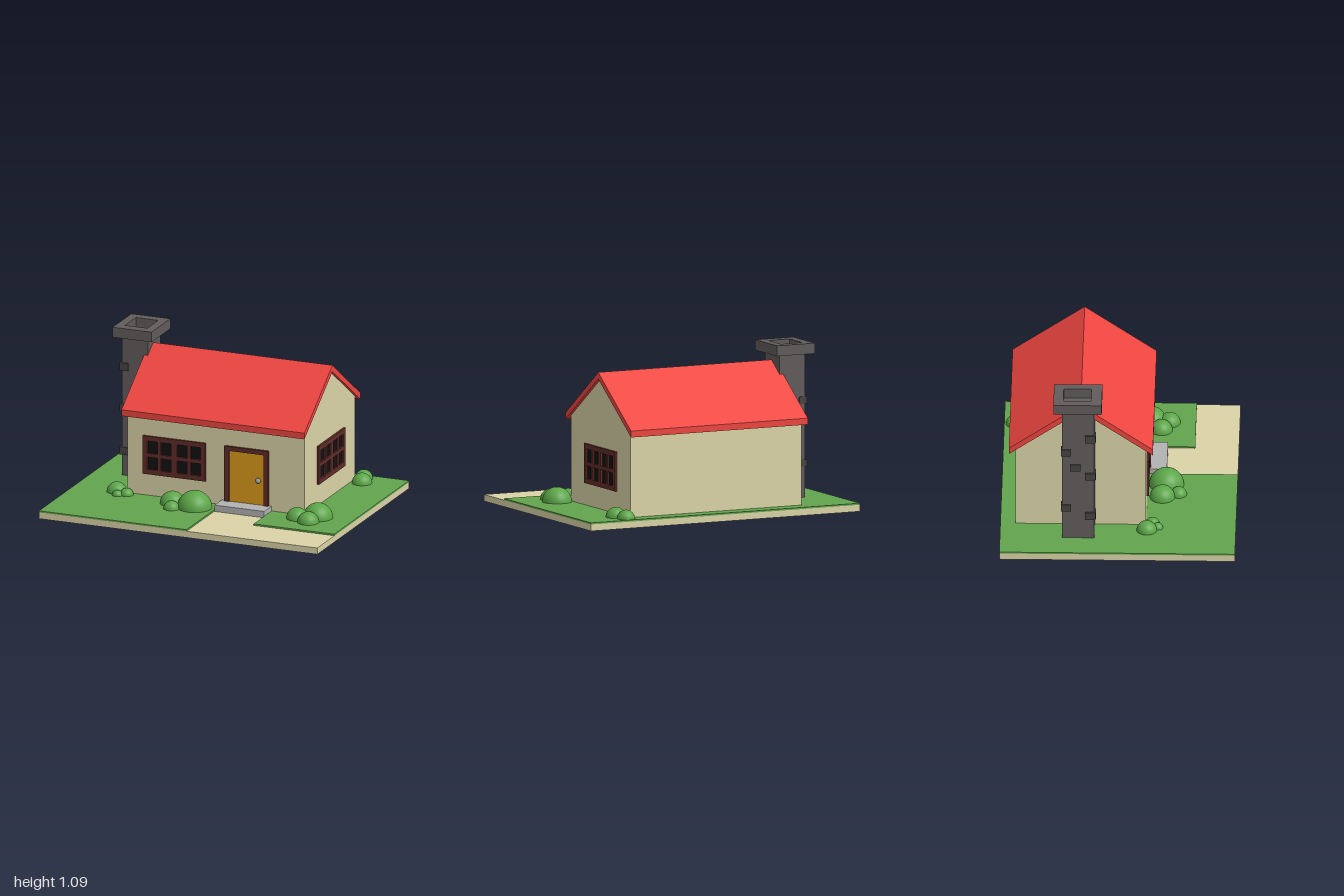
import * as THREE from 'three';

const paint = (color) => new THREE.MeshStandardMaterial({ color });
const MAT = {
  sand: paint(0xdbd4a8), grass: paint(0x62a54e), bush: paint(0x5ca648),
  roof: paint(0xee4540), stone: paint(0x625c5c), darkStone: paint(0x484444),
  wood: paint(0x602c28), glass: paint(0x111111), door: paint(0xdb9a1b),
  step: paint(0xb3b3b3), metal: paint(0xb0b0b0),
};

const shapeOf = (pts, Type = THREE.Shape) => new Type(pts.map(([x, y]) => new THREE.Vector2(x, y)));
const rect = (x0, x1, y0, y1) => [[x0, y0], [x1, y0], [x1, y1], [x0, y1]];

function add(parent, name, geometry, material) {
  const mesh = new THREE.Mesh(geometry, material);
  mesh.name = name;
  parent.add(mesh);
  return mesh;
}

// Box given by its limits on each axis
function box(parent, name, [x0, x1], [y0, y1], [z0, z1], material) {
  const mesh = add(parent, name, new THREE.BoxGeometry(x1 - x0, y1 - y0, z1 - z0), material);
  mesh.position.set((x0 + x1) / 2, (y0 + y1) / 2, (z0 + z1) / 2);
  return mesh;
}

function extrude(pts, depth, holes = []) {
  const shape = shapeOf(pts);
  shape.holes = holes.map((h) => shapeOf(h, THREE.Path));
  return new THREE.ExtrudeGeometry(shape, { depth, bevelEnabled: false });
}

// Flat slab: outline in x and z, extruded down from its top
function slab(parent, name, pts, top, depth, material, holes) {
  const geometry = extrude(pts, depth, holes).rotateX(Math.PI / 2);
  add(parent, name, geometry, material).position.y = top;
}

// Side profile in (z, y), extruded along x
function profile(parent, name, pts, x0, x1, material) {
  const geometry = extrude(pts.map(([z, y]) => [-z, y]), x1 - x0).rotateY(Math.PI / 2);
  add(parent, name, geometry, material).position.x = x0;
}

// Window of eight panes in a wooden frame, lying against z = 0
function makeWindow(name) {
  const group = new THREE.Group();
  group.name = name;
  const panes = [];
  for (const x of [-0.155, -0.058, 0.058, 0.155]) {
    for (const y of [-0.056, 0.056]) panes.push(rect(x - 0.037, x + 0.037, y - 0.043, y + 0.043));
  }
  add(group, 'windowFrame', extrude(rect(-0.225, 0.225, -0.132, 0.132), 0.016, panes), MAT.wood);
  box(group, 'windowGlass', [-0.21, 0.21], [-0.115, 0.115], [-0.004, 0.004], MAT.glass);
  return group;
}

function makeGround() {
  const ground = new THREE.Group();
  ground.name = 'ground';
  box(ground, 'base', [-1, 1], [0, 0.044], [-0.78, 0.78], MAT.sand);
  // Lawn leaves an L-shaped path free
  slab(ground, 'lawn', [[-1, -0.78], [1, -0.78], [1, 0.49], [0.42, 0.49], [0.42, 0.2],
    [0.06, 0.2], [0.06, 0.78], [-1, 0.78]], 0.055, 0.011, MAT.grass);
  return ground;
}

function makeHouse() {
  const house = new THREE.Group();
  house.name = 'house';
  const ridge = -0.247;
  profile(house, 'walls', [[0.185, 0.044], [0.185, 0.63], [ridge, 0.928],
    [-0.679, 0.63], [-0.679, 0.044]], -0.615, 0.655, MAT.sand);
  profile(house, 'roof', [[0.23, 0.597], [0.23, 0.64], [ridge, 0.972], [-0.724, 0.64],
    [-0.724, 0.597], [ridge, 0.927]], -0.64, 0.675, MAT.roof);

  const front = makeWindow('frontWindow');
  front.position.set(-0.275, 0.337, 0.185);
  const side = makeWindow('sideWindow');
  side.position.set(0.655, 0.337, -0.255);
  side.rotation.y = Math.PI / 2;
  house.add(front, side);

  // Door, its frame, knob and step
  const frame = [[0.085, 0.05], [0.12, 0.05], [0.12, 0.44], [0.37, 0.44], [0.37, 0.05],
    [0.4, 0.05], [0.4, 0.47], [0.085, 0.47]];
  add(house, 'doorFrame', extrude(frame, 0.018), MAT.wood).position.z = 0.184;
  box(house, 'door', [0.12, 0.37], [0.05, 0.44], [0.175, 0.192], MAT.door);
  const knob = new THREE.LatheGeometry([[0, 0], [0.008, 0], [0.008, 0.014], [0.018, 0.018],
    [0.018, 0.027], [0.012, 0.033], [0, 0.034]].map(([x, y]) => new THREE.Vector2(x, y)), 20);
  add(house, 'doorKnob', knob.rotateX(Math.PI / 2), MAT.metal).position.set(0.335, 0.262, 0.191);
  box(house, 'doorStep', [0.063, 0.42], [0.04, 0.088], [0.17, 0.31], MAT.step);
  return house;
}

function makeChimney() {
  const chimney = new THREE.Group();
  chimney.name = 'chimney';
  box(chimney, 'shaft', [-0.8, -0.613], [0.044, 1.022], [-0.367, -0.155], MAT.stone);
  slab(chimney, 'cap', rect(-0.845, -0.565, -0.425, -0.105), 1.09, 0.07, MAT.stone,
    [rect(-0.785, -0.625, -0.36, -0.175)]);
  // Protruding stones: at the front corner, at the back corner and in between
  for (const y of [0.81, 0.525, 0.225]) {
    box(chimney, 'frontCornerStone', [-0.813, -0.75], [y - 0.026, y + 0.026], [-0.215, -0.145], MAT.darkStone);
  }
  for (const y of [0.705, 0.285]) {
    box(chimney, 'backCornerStone', [-0.811, -0.755], [y - 0.024, y + 0.024], [-0.375, -0.31], MAT.darkStone);
  }
  box(chimney, 'middleStone', [-0.811, -0.76], [0.567, 0.615], [-0.315, -0.245], MAT.darkStone);
  return chimney;
}

function makeBushes() {
  const bushes = new THREE.Group();
  bushes.name = 'bushes';
  const domes = [ // x, z, radius
    [-0.69, 0.19, 0.067], [-0.603, 0.228, 0.046], [-0.655, 0.262, 0.036],
    [-0.25, 0.285, 0.084], [-0.08, 0.31, 0.116], [-0.212, 0.393, 0.054],
    [0.757, 0.193, 0.1], [0.638, 0.262, 0.074], [0.738, 0.315, 0.072],
    [0.705, -0.71, 0.06], [0.732, -0.615, 0.068],
  ];
  const dome = new THREE.SphereGeometry(1, 32, 12, 0, Math.PI * 2, 0, Math.PI / 2);
  for (const [x, z, r] of domes) {
    const mesh = add(bushes, 'bush', dome, MAT.bush);
    mesh.position.set(x, 0.054, z);
    mesh.scale.setScalar(r);
  }
  return bushes;
}

export function createModel() {
  const model = new THREE.Group();
  model.name = 'cottage';
  model.add(makeGround(), makeHouse(), makeChimney(), makeBushes());
  return model;
}
